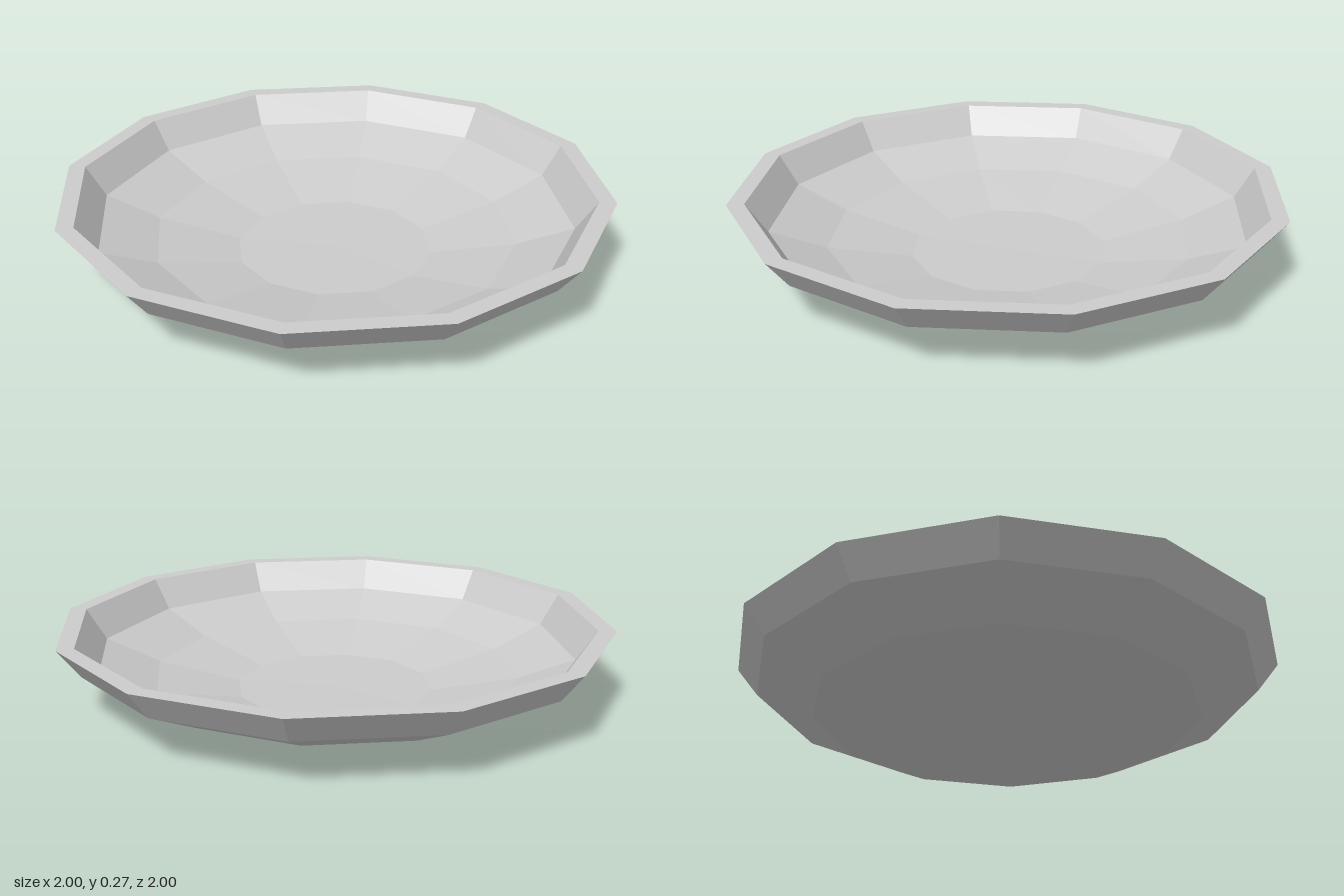
import * as THREE from 'three';

const SIDES = 12;

export function createModel() {
  const group = new THREE.Group();
  group.name = 'dish';

  // Closed profile (radius, height): underside, outer wall, flat rim, inner wall, floor
  const profile = [
    [0, 0], [0.415, 0.003], [0.717, 0.067], [0.93, 0.167], [1.01, 0.27],
    [0.947, 0.27], [0.873, 0.158], [0.67, 0.078], [0.362, 0.017], [0, 0.014],
  ].map(([r, y]) => new THREE.Vector2(r, y));

  // Twelve-sided faceted bowl, turned so a corner sits 8 degrees off the x axis
  const bowl = new THREE.Mesh(
    new THREE.LatheGeometry(profile, SIDES, THREE.MathUtils.degToRad(22)),
    new THREE.MeshStandardMaterial({ color: 0xcccccc, flatShading: true })
  );
  bowl.name = 'bowl';
  group.add(bowl);

  return group;
}
